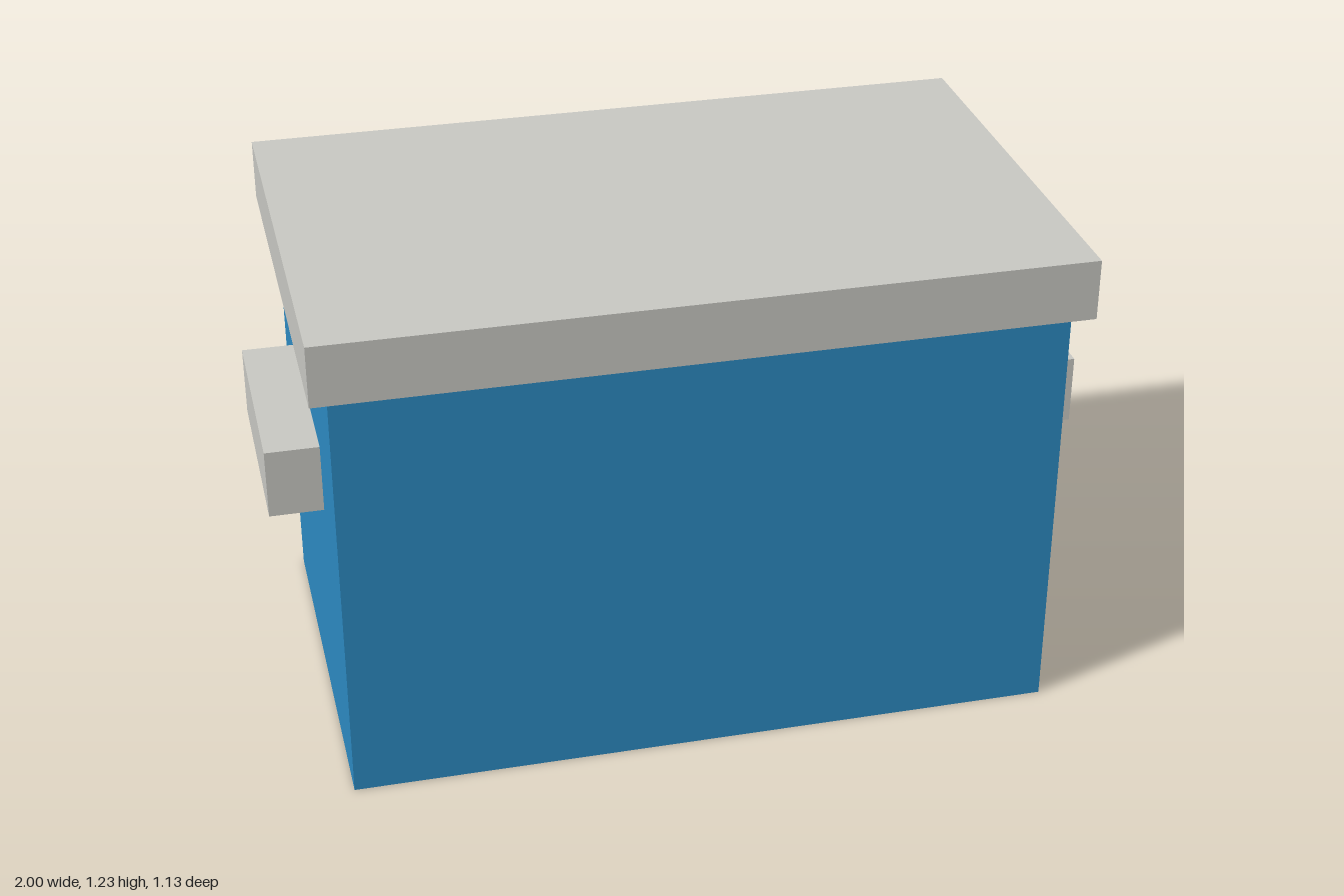
import * as THREE from 'three';

const blue = new THREE.MeshStandardMaterial({ name: 'blue plastic', color: 0x2c8ac2 });
const grey = new THREE.MeshStandardMaterial({ name: 'light grey plastic', color: 0xc8c8c3 });

// Box given by its size, its centre x and its bottom height
function box(name, material, [w, h, d], x, bottom) {
  const mesh = new THREE.Mesh(new THREE.BoxGeometry(w, h, d), material);
  mesh.name = name;
  mesh.position.set(x, bottom + h / 2, 0);
  return mesh;
}

export function createModel() {
  const model = new THREE.Group();
  model.name = 'coolBox';

  // Main container
  model.add(box('body', blue, [1.739, 1.08, 1.043], 0, 0));

  // Overhanging lid
  model.add(box('lid', grey, [1.826, 0.15, 1.13], 0, 1.08));

  // Grip block on each end
  for (const [name, side] of [['leftHandle', 1], ['rightHandle', -1]]) {
    model.add(box(name, grey, [0.13, 0.172, 0.522], side * 0.935, 0.633));
  }

  return model;
}
